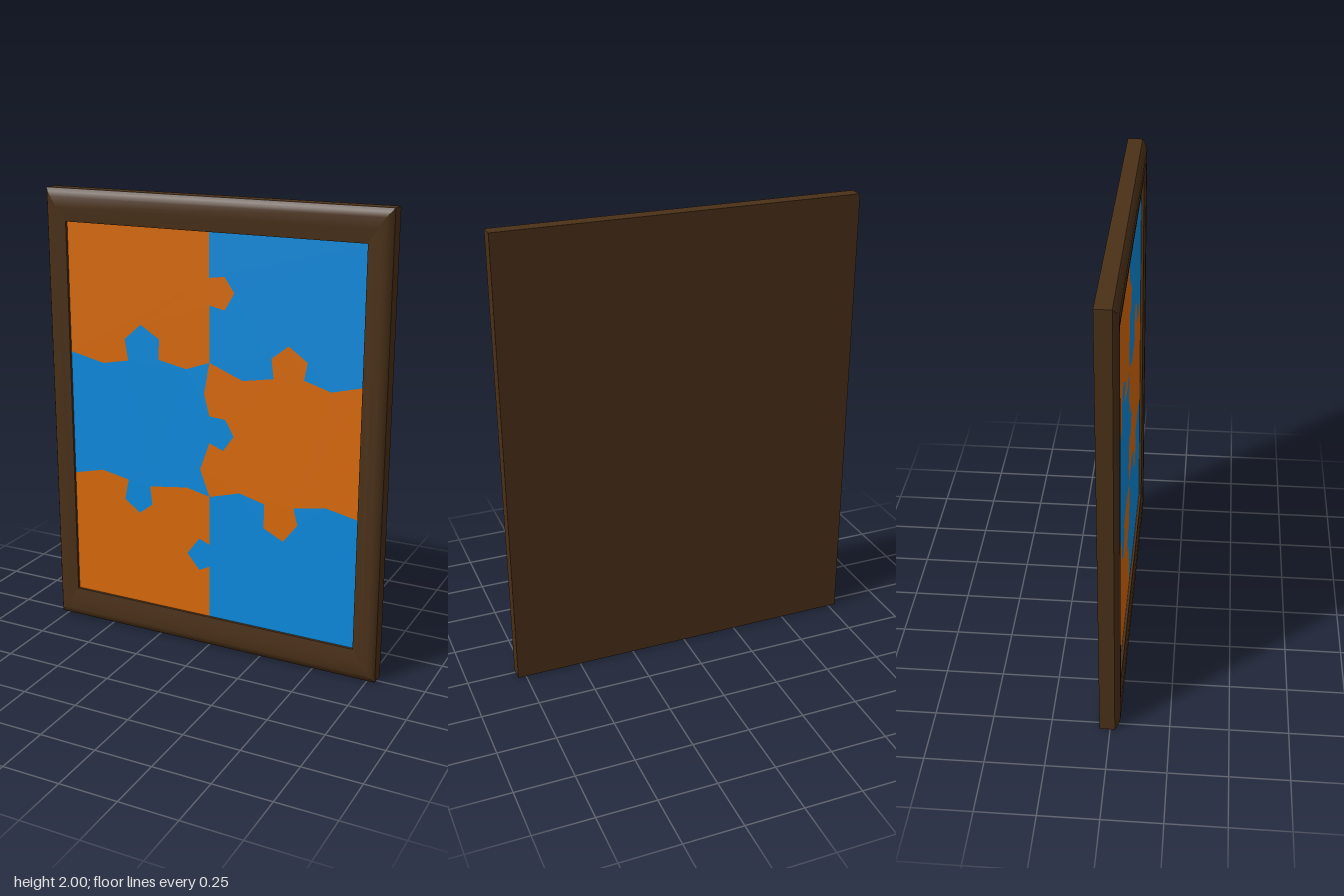
import * as THREE from 'three';

const brown = new THREE.MeshStandardMaterial({ color: 0x4a3018 });
const orange = new THREE.MeshStandardMaterial({ color: 0xd96a0a });
const blue = new THREE.MeshStandardMaterial({ color: 0x0c8ade });

const W = 0.685, TOP = 1.86, BOTTOM = 0.14; // opening of the frame
const PANEL_Z = 0.015;

// One mitred side of a moulding; rings are [halfWidth, halfHeight, z], outer to inner.
function mouldingSide(rings, side) {
  const signs = [[1, 1], [-1, 1], [-1, -1], [1, -1]];
  const position = [], index = [];
  rings.forEach(([hx, hy, z], i) => {
    for (const [sx, sy] of [signs[side], signs[(side + 1) % 4]]) position.push(sx * hx, 1 + sy * hy, z);
    if (i > 0) {
      const a = 2 * (i - 1);
      index.push(a, a + 1, a + 3, a, a + 3, a + 2);
    }
  });
  const geometry = new THREE.BufferGeometry();
  geometry.setAttribute('position', new THREE.Float32BufferAttribute(position, 3));
  geometry.setIndex(index);
  geometry.computeVertexNormals();
  return geometry;
}

function createFrame() {
  const frame = new THREE.Group();
  frame.name = 'frame';
  // Separate bands keep the edges between them sharp; each band is smooth.
  const bands = {
    outerEdge: [[0.785, 1, PANEL_Z], [0.785, 1, 0.02]],
    moulding: [[0.785, 1, 0.02], [0.775, 0.985, 0.033], [0.755, 0.965, 0.042], [0.725, 0.92, 0.041], [W, 0.86, 0.034]],
    innerEdge: [[W, 0.86, 0.034], [W, 0.86, PANEL_Z]],
  };
  for (const [name, rings] of Object.entries(bands)) {
    for (let side = 0; side < 4; side++) {
      const mesh = new THREE.Mesh(mouldingSide(rings, side), brown);
      mesh.name = name;
      frame.add(mesh);
    }
  }
  return frame;
}

// Cut lines between neighbouring pieces: rows run left to right, columns top to bottom.
const cuts = {
  upperLeft: [[-W, 1.285], [-0.52, 1.25], [-0.395, 1.275], [-0.41, 1.37], [-0.33, 1.44], [-0.24, 1.385], [-0.245, 1.295], [-0.11, 1.27], [0, 1.31]],
  upperRight: [[0, 1.31], [0.155, 1.25], [0.295, 1.275], [0.285, 1.36], [0.36, 1.42], [0.445, 1.36], [0.43, 1.285], [0.55, 1.25], [W, 1.285]],
  lowerLeft: [[-W, 0.715], [-0.54, 0.75], [-0.405, 0.725], [-0.425, 0.63], [-0.35, 0.575], [-0.285, 0.625], [-0.295, 0.71], [-0.11, 0.735], [0, 0.71]],
  lowerRight: [[0, 0.71], [0.145, 0.75], [0.26, 0.72], [0.26, 0.61], [0.35, 0.565], [0.415, 0.65], [0.395, 0.725], [0.54, 0.75], [W, 0.72]],
  topColumn: [[0, TOP], [0, 1.67], [0.07, 1.68], [0.115, 1.615], [0.07, 1.54], [0, 1.555], [0, 1.31]],
  middleColumn: [[0, 1.31], [-0.025, 1.17], [0, 1.075], [0.075, 1.07], [0.115, 1.0], [0.065, 0.93], [0, 0.955], [-0.045, 0.83], [0, 0.71]],
  bottomColumn: [[0, 0.71], [0, 0.485], [-0.05, 0.505], [-0.11, 0.425], [-0.05, 0.355], [0, 0.38], [0, BOTTOM]],
};

// A piece is bounded by an upper and lower row line and the central column line.
function puzzlePiece(name, upper, lower, column, onLeft, material) {
  const back = (line) => [...line].reverse();
  const outline = onLeft
    ? [...upper, ...column.slice(1), ...back(lower).slice(1)]
    : [...upper, ...back(lower), ...back(column).slice(1, -1)];
  const shape = new THREE.Shape(outline.map(([x, y]) => new THREE.Vector2(x, y)));
  const geometry = new THREE.ExtrudeGeometry(shape, { depth: 0.007, bevelEnabled: false });
  const mesh = new THREE.Mesh(geometry, material);
  mesh.position.z = PANEL_Z;
  mesh.name = name;
  return mesh;
}

export function createModel() {
  const model = new THREE.Group();
  model.name = 'framedPuzzle';

  // Solid backing board
  const depth = PANEL_Z + 0.045;
  const backing = new THREE.Mesh(new THREE.BoxGeometry(1.57, 2, depth), brown);
  backing.position.set(0, 1, PANEL_Z - depth / 2);
  backing.name = 'backing';
  model.add(backing, createFrame());

  // Six interlocking pieces in alternating colours
  const edge = (x1, x2, y) => [[x1, y], [x2, y]];
  const puzzle = new THREE.Group();
  puzzle.name = 'puzzle';
  puzzle.add(
    puzzlePiece('topLeftPiece', edge(-W, 0, TOP), cuts.upperLeft, cuts.topColumn, true, orange),
    puzzlePiece('topRightPiece', edge(0, W, TOP), cuts.upperRight, cuts.topColumn, false, blue),
    puzzlePiece('middleLeftPiece', cuts.upperLeft, cuts.lowerLeft, cuts.middleColumn, true, blue),
    puzzlePiece('middleRightPiece', cuts.upperRight, cuts.lowerRight, cuts.middleColumn, false, orange),
    puzzlePiece('bottomLeftPiece', cuts.lowerLeft, edge(-W, 0, BOTTOM), cuts.bottomColumn, true, orange),
    puzzlePiece('bottomRightPiece', cuts.lowerRight, edge(0, W, BOTTOM), cuts.bottomColumn, false, blue),
  );
  model.add(puzzle);
  return model;
}
